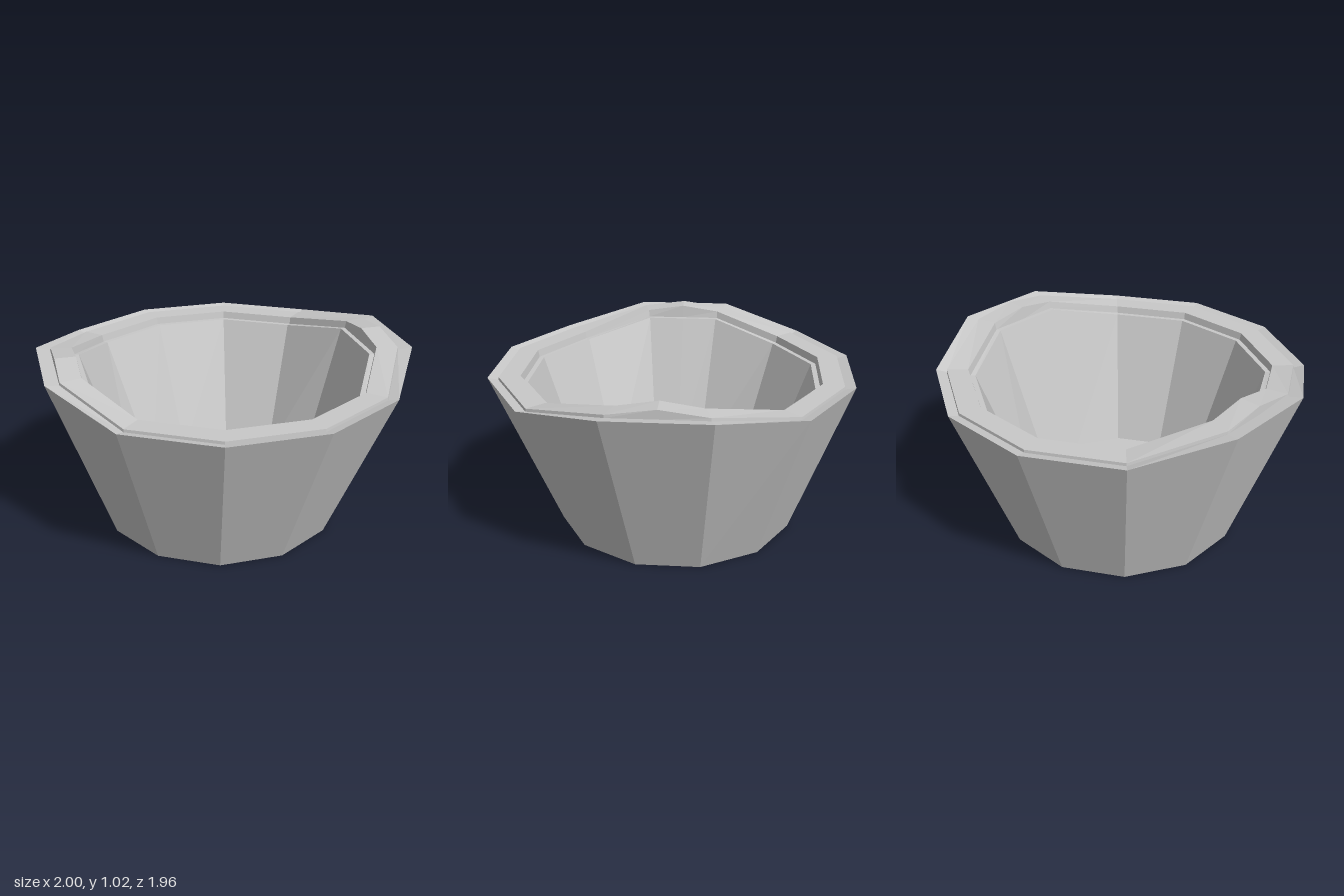
import * as THREE from 'three';

const clay = new THREE.MeshStandardMaterial({ color: 0xc8c8c8, flatShading: true });
clay.name = 'plain grey';

// Twelve corners, plus a middle point on each of the two raised sides.
const angles = [0];
for (let i = 0; i < 12; i++) {
  angles.push(15 + 30 * i);
  if (i === 5) angles.push(180);
}

// A ring: a = distance to the flats, y = height, rise = lift of the side corners,
// peak = extra lift in the middle of each side, flare = widening of raised corners.
function ring({ a, y, rise = 0, peak = 0, flare = 0, x = 0, z = 0 }) {
  return angles.map((deg) => {
    const t = THREE.MathUtils.degToRad(deg);
    const middle = deg % 180 === 0;
    const side = Math.abs(Math.cos(t)) > 0.9;
    const r = (a + (side ? flare : 0)) / (middle ? 1 : Math.cos(Math.PI / 12));
    return [x + r * Math.cos(t), y + (side ? rise : 0) + (middle ? peak : 0), z - r * Math.sin(t)];
  });
}

// Joins consecutive rings with quads.
function skin(name, specs) {
  const rings = specs.map(ring);
  const n = angles.length;
  const index = [];
  for (let i = 0; i < rings.length - 1; i++) {
    for (let j = 0; j < n; j++) {
      const k = (j + 1) % n;
      const p = i * n + j, q = i * n + k;
      index.push(p, q, q + n, p, q + n, p + n);
    }
  }
  const indexed = new THREE.BufferGeometry();
  indexed.setAttribute('position', new THREE.Float32BufferAttribute(rings.flat(2), 3));
  indexed.setIndex(index);
  const geometry = indexed.toNonIndexed();
  geometry.computeVertexNormals();
  const mesh = new THREE.Mesh(geometry, clay);
  mesh.name = name;
  return mesh;
}

export function createModel() {
  const group = new THREE.Group();
  group.name = 'facetedBowl';

  const base = { a: 0.65, y: 0, x: -0.02, z: -0.02 };
  const baseCentre = { ...base, a: 0 };
  const outerEdge = { a: 0.98, y: 0.9, rise: 0.085, flare: 0.02 };
  const stepFoot = { a: 0.925, y: 0.885, rise: 0.085 };
  const stepTop = { a: 0.923, y: 0.9, rise: 0.085, peak: 0.033 };
  const innerEdge = { a: 0.81, y: 0.9, rise: 0.085, peak: 0.033 };
  const ledgeOuter = { a: 0.802, y: 0.86, rise: 0.085 };
  const ledgeInner = { a: 0.775, y: 0.86, rise: 0.085 };
  const floor = { a: 0.512, y: 0.1, x: 0.014, z: 0.01 };
  const floorCentre = { ...floor, a: 0 };

  group.add(
    skin('underside', [baseCentre, base]),
    skin('outerWall', [base, outerEdge]),
    skin('outerLip', [outerEdge, stepFoot]),
    skin('raisedRim', [stepFoot, stepTop, innerEdge, ledgeOuter]),
    skin('innerLedge', [ledgeOuter, ledgeInner]),
    skin('innerWall', [ledgeInner, floor]),
    skin('floor', [floor, floorCentre]),
  );
  return group;
}
